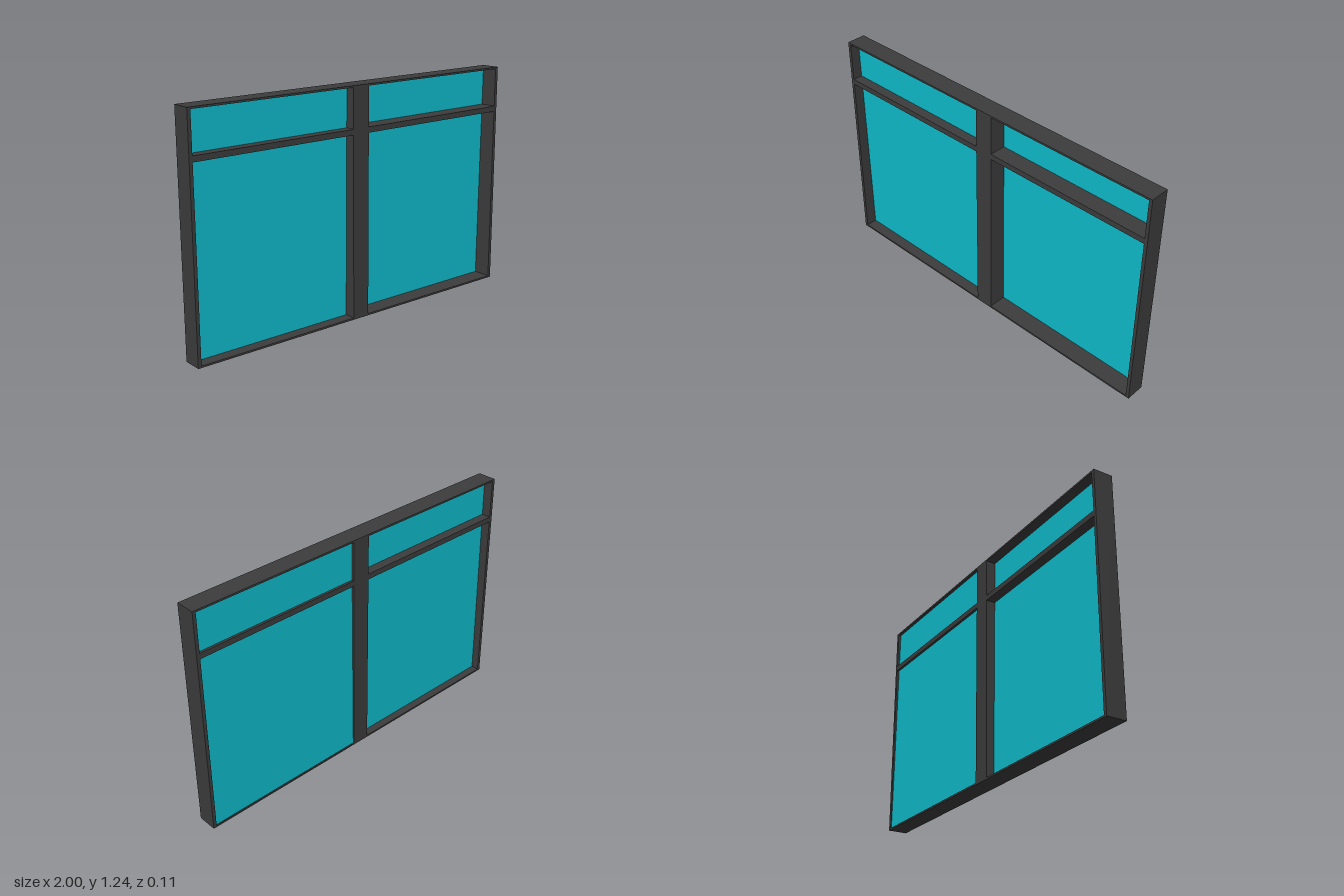
import * as THREE from 'three';

const W = 2, H = 1.24, D = 0.106;
const JAMB = 0.018, RAIL = 0.01, MULLION = 0.1;
const TRANSOM_LOW = 0.99, TRANSOM_HIGH = 1.02;

export function createModel() {
  const model = new THREE.Group();
  model.name = 'window';
  const frameMaterial = new THREE.MeshStandardMaterial({ color: 0x3c3c3c });
  const glassMaterial = new THREE.MeshStandardMaterial({ color: 0x0fbccc, side: THREE.DoubleSide });

  // Outer frame and central mullion, one extrusion with two openings
  const outline = new THREE.Shape([
    new THREE.Vector2(-W / 2, 0), new THREE.Vector2(W / 2, 0),
    new THREE.Vector2(W / 2, H), new THREE.Vector2(-W / 2, H),
  ]);
  const inner = MULLION / 2, outer = W / 2 - JAMB;
  for (const [x0, x1] of [[-outer, -inner], [inner, outer]]) {
    outline.holes.push(new THREE.Path([
      new THREE.Vector2(x0, RAIL), new THREE.Vector2(x0, H - RAIL),
      new THREE.Vector2(x1, H - RAIL), new THREE.Vector2(x1, RAIL),
    ]));
  }
  const frameGeometry = new THREE.ExtrudeGeometry(outline, { depth: D, bevelEnabled: false });
  frameGeometry.translate(0, 0, -D / 2);
  const frame = new THREE.Mesh(frameGeometry, frameMaterial);
  frame.name = 'frame';
  model.add(frame);

  const span = outer - inner, middle = (outer + inner) / 2;
  for (const side of [-1, 1]) {
    const label = side > 0 ? 'left' : 'right';

    // Transom bar across each opening
    const transom = new THREE.Mesh(
      new THREE.BoxGeometry(span, TRANSOM_HIGH - TRANSOM_LOW, D), frameMaterial);
    transom.name = label + 'Transom';
    transom.position.set(side * middle, (TRANSOM_LOW + TRANSOM_HIGH) / 2, 0);
    model.add(transom);

    // Panes sit on two separate tracks, leaning back slightly at the foot
    const pane = new THREE.Mesh(new THREE.PlaneGeometry(span, H - 2 * RAIL), glassMaterial);
    pane.name = label + 'Pane';
    pane.position.set(side * middle, H / 2, side > 0 ? -0.043 : -0.005);
    pane.rotation.x = 0.008;
    model.add(pane);
  }
  return model;
}
